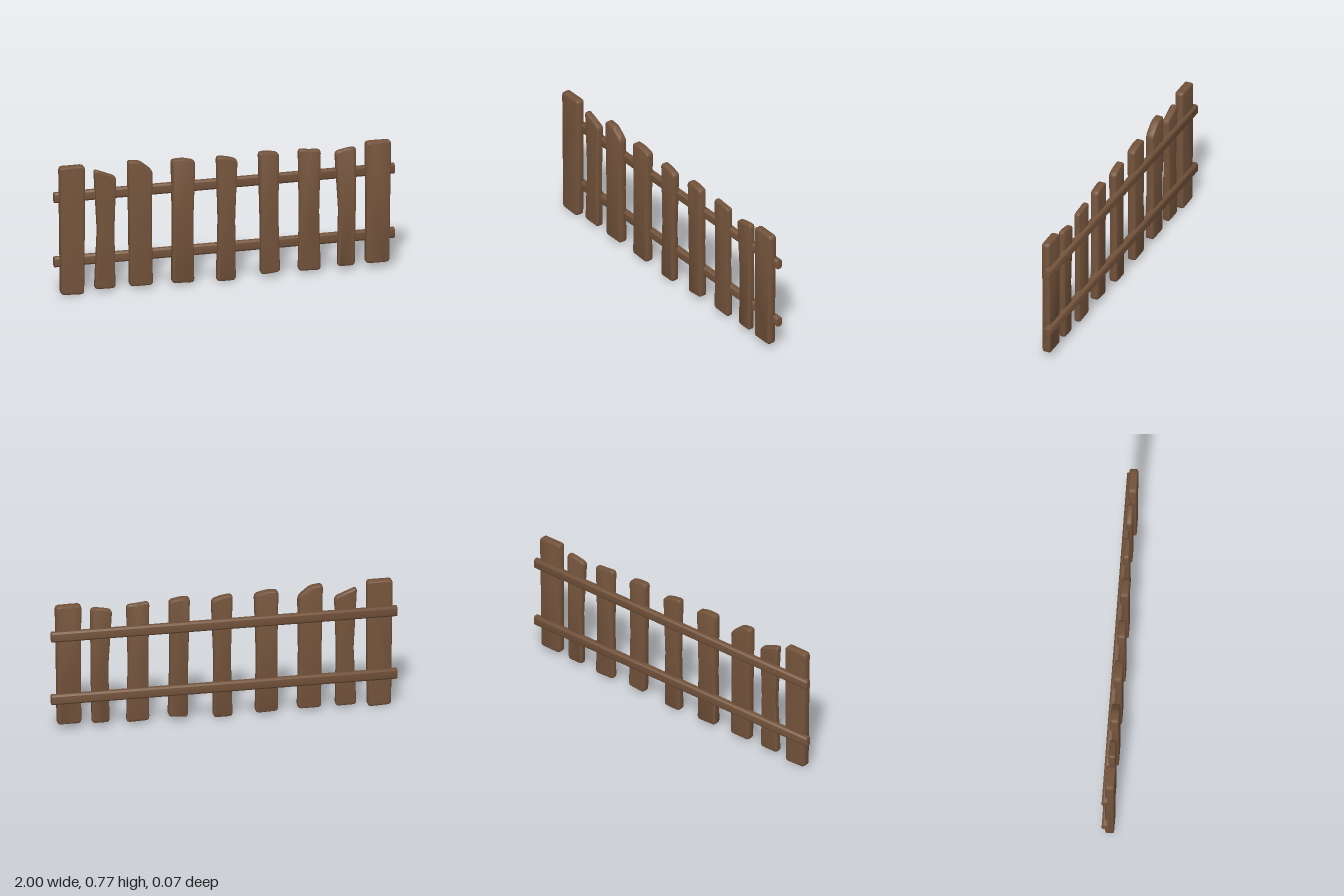
import * as THREE from 'three';
import { mergeVertices, toCreasedNormals } from 'three/addons/utils/BufferGeometryUtils.js';

// Closed shape through counter-clockwise points with every corner rounded.
function roundedShape(points, radius) {
  const pts = points.map(([x, y]) => new THREE.Vector2(x, y));
  const shape = new THREE.Shape();
  pts.forEach((p, i) => {
    const prev = pts[(i + pts.length - 1) % pts.length];
    const next = pts[(i + 1) % pts.length];
    const toward = (q) => p.clone().lerp(q, Math.min(radius / p.distanceTo(q), 0.45));
    const a = toward(prev), b = toward(next);
    if (i === 0) shape.moveTo(a.x, a.y);
    else shape.lineTo(a.x, a.y);
    shape.quadraticCurveTo(p.x, p.y, b.x, b.y);
  });
  shape.closePath();
  return shape;
}

// Softly bevelled slab centred on its depth axis.
function slab(points, radius, depth, bevel) {
  const geo = new THREE.ExtrudeGeometry(roundedShape(points, radius), {
    depth: depth - 2 * bevel,
    bevelEnabled: true,
    bevelThickness: bevel,
    bevelSize: bevel,
    bevelOffset: -bevel,
    bevelSegments: 3,
    curveSegments: 4,
  });
  geo.translate(0, 0, -(depth - 2 * bevel) / 2);
  geo.deleteAttribute('uv');
  geo.deleteAttribute('normal');
  return toCreasedNormals(mergeVertices(geo, 1e-5), 0.8);
}

// Uneven boards: left/right x at bottom, middle and top; y of bottom (left, right)
// and top (left, middle, right); back and front z.
const PLANKS = [
  { bottom: [-0.968, -0.832], mid: [-0.972, -0.828], top: [-0.977, -0.828], low: [0.005, 0.0], high: [0.77, 0.77, 0.77], z: [-0.018, 0.033] },
  { bottom: [-0.768, -0.646], mid: [-0.752, -0.652], top: [-0.772, -0.642], low: [0.02, 0.018], high: [0.737, 0.712, 0.685], z: [-0.015, 0.026] },
  { bottom: [-0.563, -0.427], mid: [-0.566, -0.434], top: [-0.574, -0.43], low: [0.02, 0.02], high: [0.772, 0.765, 0.705], z: [-0.018, 0.031] },
  { bottom: [-0.315, -0.184], mid: [-0.31, -0.19], top: [-0.317, -0.178], low: [0.018, 0.013], high: [0.755, 0.757, 0.74], z: [-0.018, 0.031] },
  { bottom: [-0.052, 0.06], mid: [-0.042, 0.056], top: [-0.053, 0.07], low: [0.005, 0.005], high: [0.752, 0.745, 0.726], z: [-0.015, 0.031] },
  { bottom: [0.207, 0.32], mid: [0.205, 0.31], top: [0.195, 0.315], low: [0.022, 0.032], high: [0.755, 0.755, 0.742], z: [-0.018, 0.031] },
  { bottom: [0.43, 0.562], mid: [0.436, 0.553], top: [0.43, 0.563], low: [0.022, 0.017], high: [0.75, 0.742, 0.738], z: [-0.018, 0.018] },
  { bottom: [0.66, 0.762], mid: [0.667, 0.768], top: [0.645, 0.77], low: [0.028, 0.028], high: [0.715, 0.73, 0.736], z: [-0.018, 0.019] },
  { bottom: [0.823, 0.962], mid: [0.826, 0.966], top: [0.823, 0.973], low: [0.035, 0.035], high: [0.762, 0.762, 0.76], z: [-0.018, 0.031] },
];

export function createModel() {
  const model = new THREE.Group();
  model.name = 'picketFence';
  const wood = new THREE.MeshStandardMaterial({ color: 0x73533b });
  wood.name = 'brown wood';

  // Upright boards
  PLANKS.forEach(({ bottom, mid, top, low, high, z }, i) => {
    const outline = [
      [bottom[0], low[0]],
      [bottom[1], low[1]],
      [mid[1], 0.37],
      [top[1], high[2]],
      [(top[0] + top[1]) / 2, high[1]],
      [top[0], high[0]],
      [mid[0], 0.37],
    ];
    const plank = new THREE.Mesh(slab(outline, 0.022, z[1] - z[0], 0.011), wood);
    plank.name = `plank${i + 1}`;
    plank.position.z = (z[0] + z[1]) / 2;
    model.add(plank);
  });

  // Two horizontal rails along the back
  const w = 0.019, h = 0.031, c = 0.009;
  const section = [
    [-w + c, -h], [w - c, -h], [w, -h + c], [w, h - c],
    [w - c, h], [-w + c, h], [-w, h - c], [-w, -h + c],
  ];
  [['lowerRail', 0.195], ['upperRail', 0.58]].forEach(([name, y]) => {
    const rail = new THREE.Mesh(slab(section, 0.005, 2, 0.004).rotateY(Math.PI / 2), wood);
    rail.name = name;
    rail.position.set(0, y, -0.016);
    model.add(rail);
  });

  return model;
}
